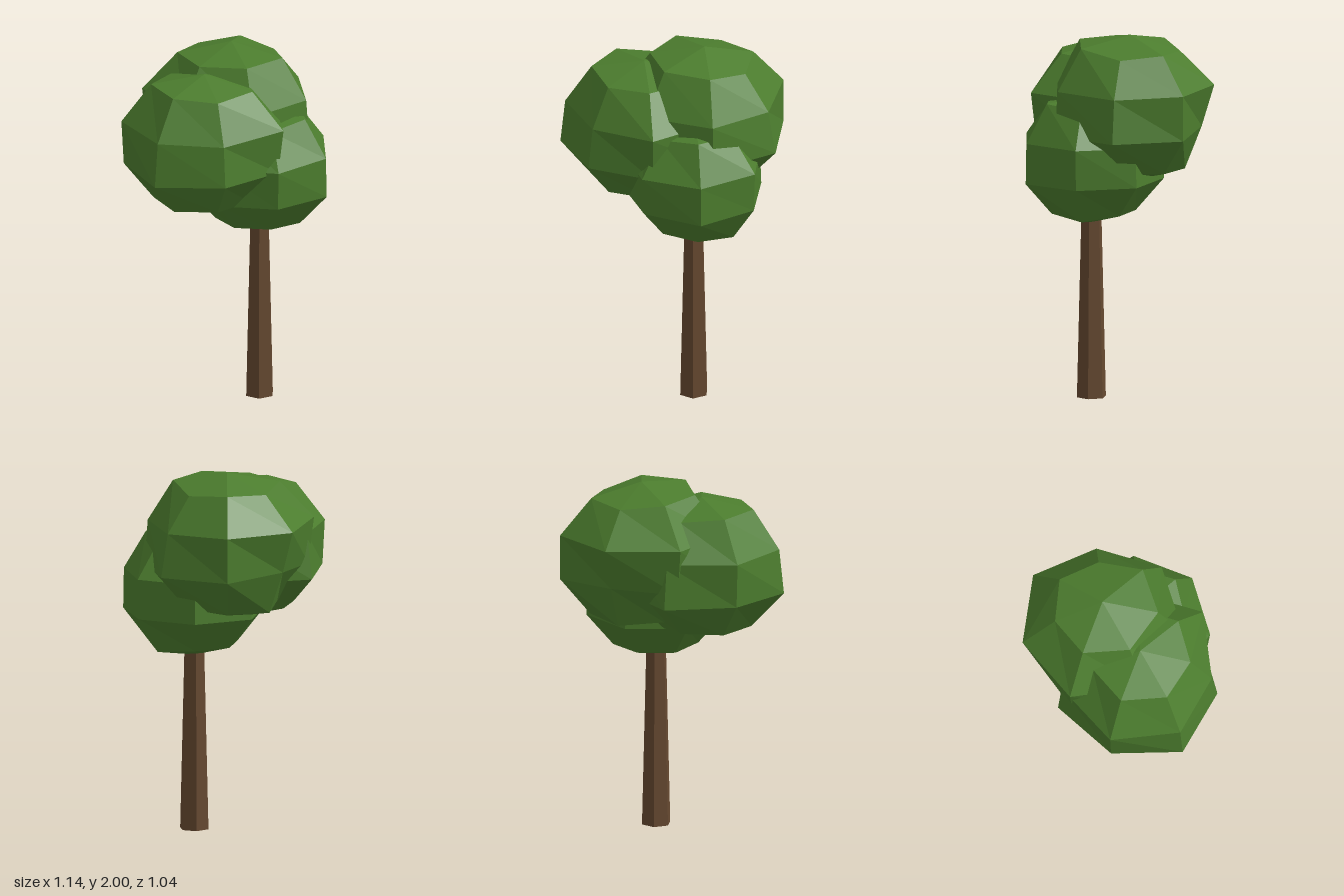
import * as THREE from 'three';

const SIDES = 7;
const BANDS = 5;

// Squashed seven-sided ball; bumps[ring][side] pushes each vertex in or out from the centre
function foliageGeometry(radius, halfHeight, bumps) {
  const points = [];
  const index = [];
  for (let i = 0; i <= BANDS; i++) {
    const lat = (i / BANDS) * Math.PI;
    for (let k = 0; k < SIDES; k++) {
      const a = (k / SIDES) * Math.PI * 2;
      const pole = i === 0 || i === BANDS;
      const s = pole ? 1 : bumps[i - 1][k];
      const r = pole ? 0 : radius * Math.sin(lat) * s;
      points.push(r * Math.cos(a), halfHeight * Math.cos(lat) * s, r * Math.sin(a));
    }
  }
  for (let i = 0; i < BANDS; i++) {
    for (let k = 0; k < SIDES; k++) {
      const next = (k + 1) % SIDES;
      const a = i * SIDES + k, b = i * SIDES + next;
      const c = a + SIDES, d = b + SIDES;
      if (i > 0) index.push(a, b, c);
      if (i < BANDS - 1) index.push(b, d, c);
    }
  }
  const indexed = new THREE.BufferGeometry();
  indexed.setAttribute('position', new THREE.Float32BufferAttribute(points, 3));
  indexed.setIndex(index);
  const geometry = indexed.toNonIndexed();
  geometry.computeVertexNormals();
  return geometry;
}

export function createModel() {
  const tree = new THREE.Group();
  tree.name = 'tree';

  const bark = new THREE.MeshStandardMaterial({ color: 0x664930, flatShading: true });
  bark.name = 'bark brown';
  const leaves = new THREE.MeshStandardMaterial({ color: 0x4c7d2e, flatShading: true });
  leaves.name = 'leaf green';

  // Tapered six-sided trunk, reaching into the foliage
  const trunk = new THREE.Mesh(
    new THREE.CylinderGeometry(0.055, 0.0825, 1.1, 6, 1, false, Math.PI / 2), bark);
  trunk.name = 'trunk';
  trunk.position.set(0.172, 0.55, 0.125);
  tree.add(trunk);

  // Three overlapping foliage clumps
  const clumps = [
    {
      name: 'lowerFoliage', at: [0.17, 1.32, 0.125], radius: 0.41, halfHeight: 0.355,
      bumps: [
        [1.06, 1.12, 1.05, 1, 1, 1, 1],
        [1.02, 1.01, 1, 1, 1, 1, 0.98],
        [1, 1.02, 0.96, 0.97, 1, 1.01, 1],
        [1.07, 1, 0.96, 0.97, 1, 1, 1],
      ],
    },
    {
      name: 'sideFoliage', at: [-0.16, 1.53, 0.105], radius: 0.46, halfHeight: 0.39,
      bumps: [
        [1, 1.05, 1.02, 1.07, 1.07, 1, 1],
        [1, 1.07, 0.9, 0.99, 1.03, 1, 1],
        [1, 1, 0.97, 1.05, 1, 1.07, 1],
        [1, 1, 1, 1.03, 1.02, 1, 1],
      ],
    },
    {
      name: 'upperFoliage', at: [0.11, 1.6, -0.08], radius: 0.478, halfHeight: 0.4,
      bumps: [
        [0.94, 1.07, 1.09, 1.06, 1.05, 0.96, 1],
        [0.91, 0.97, 0.97, 1, 1.07, 1, 1],
        [1.01, 1.01, 1, 1, 1, 0.85, 1],
        [1, 1, 1, 1, 1, 1.05, 1.02],
      ],
    },
  ];
  for (const { name, at, radius, halfHeight, bumps } of clumps) {
    const clump = new THREE.Mesh(foliageGeometry(radius, halfHeight, bumps), leaves);
    clump.name = name;
    clump.position.set(...at);
    tree.add(clump);
  }
  return tree;
}
